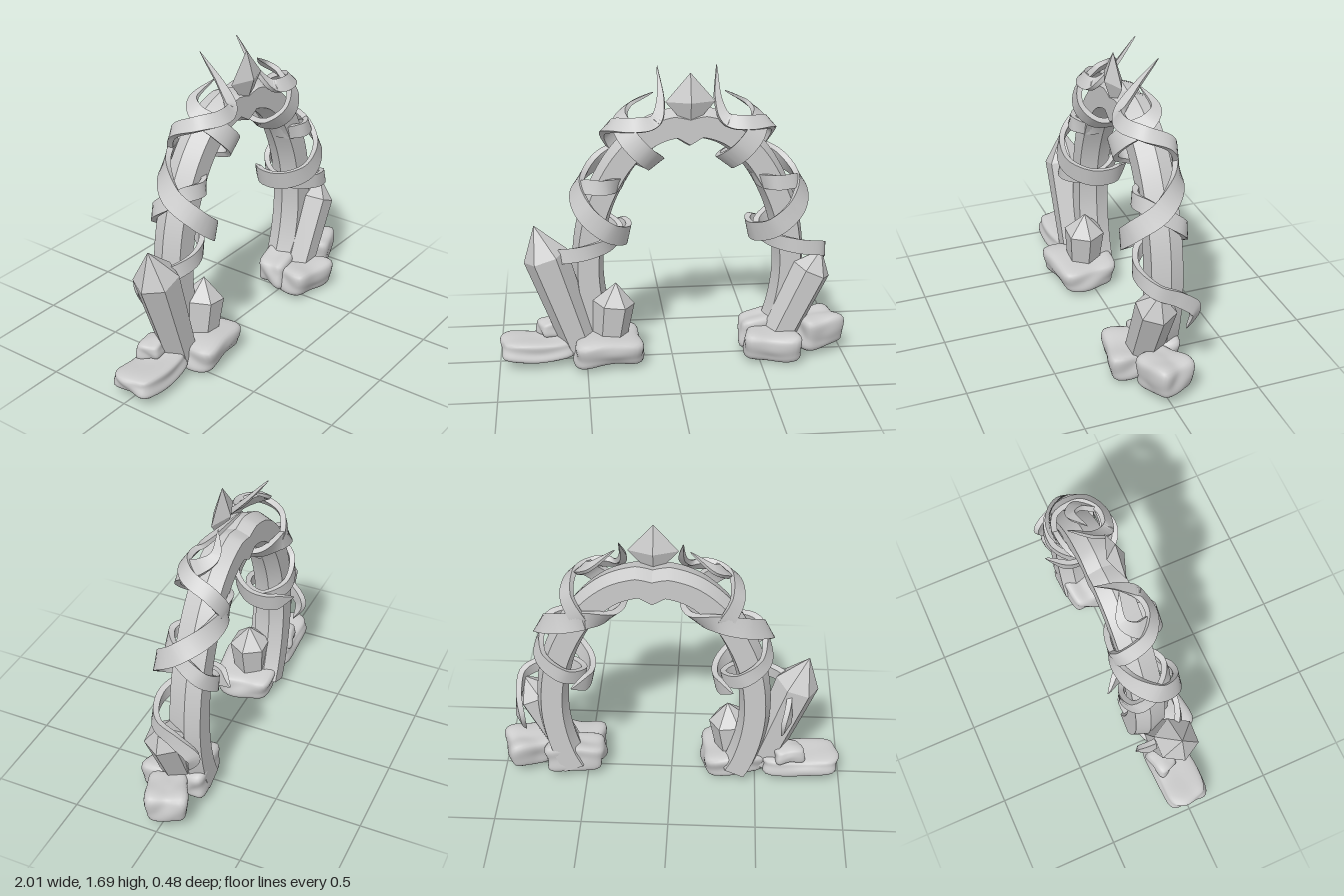
import * as THREE from 'three';
import { toCreasedNormals, mergeVertices } from 'three/addons/utils/BufferGeometryUtils.js';

const V = (x, y, z = 0) => new THREE.Vector3(x, y, z);
const mat = new THREE.MeshStandardMaterial({ color: 0xcccccc });
const flatMat = new THREE.MeshStandardMaterial({ color: 0xcccccc, flatShading: true });
const CX = 0.1; // the arch's own mirror line

function add(parent, name, geometry, material = mat) {
  const mesh = new THREE.Mesh(geometry, material);
  mesh.name = name;
  parent.add(mesh);
  return mesh;
}

// Skin a list of equal-length rings and cap both ends
function loft(rings, crease) {
  const n = rings[0].length, pos = [], idx = [];
  rings.forEach(r => r.forEach(p => pos.push(p.x, p.y, p.z)));
  for (let i = 0; i < rings.length - 1; i++) {
    for (let j = 0; j < n; j++) {
      const a = i * n + j, b = i * n + (j + 1) % n;
      idx.push(a, b, b + n, a, b + n, a + n);
    }
  }
  const last = (rings.length - 1) * n;
  for (let j = 1; j < n - 1; j++) {
    idx.push(0, j + 1, j, last, last + j, last + j + 1);
  }
  const g = new THREE.BufferGeometry();
  g.setAttribute('position', new THREE.Float32BufferAttribute(pos, 3));
  g.setIndex(idx);
  return toCreasedNormals(g, crease);
}

// Horseshoe centre line, feet hooking inward
const half = [[0.475, 0.09], [0.515, 0.18], [0.56, 0.35], [0.58, 0.55], [0.555, 0.8], [0.49, 1.0],
  [0.375, 1.2], [0.23, 1.335], [0.1, 1.385]];
const archPath = new THREE.CatmullRomCurve3([
  ...half.map(([x, y]) => V(CX - x, y, -0.06)),
  V(CX, 1.392, -0.06),
  ...half.map(([x, y]) => V(CX + x, y, -0.06)).reverse(),
], false, 'centripetal');
const archSamples = archPath.getSpacedPoints(1500);

// Hexagonal section, pulled down into a small keystone notch at the crown
function archGeometry() {
  const hex = [[0.09, -0.01], [0.06, 0.09], [-0.06, 0.09], [-0.09, -0.01], [-0.06, -0.09], [0.06, -0.09]];
  const rings = [], N = 120, Z = V(0, 0, 1);
  for (let i = 0; i <= N; i++) {
    const p = archPath.getPointAt(i / N);
    const out = Z.clone().cross(archPath.getTangentAt(i / N)).normalize();
    const dip = p.y > 1 ? 0.045 * Math.max(0, 1 - Math.abs(p.x - CX) / 0.08) : 0;
    rings.push(hex.map(([u, v]) => p.clone()
      .addScaledVector(out, u - dip * (u < 0 ? 1 : 0.5)).addScaledVector(Z, v)));
  }
  return loft(rings, 0.5);
}

// Flat vine lying around the arch, tapering to a point at both ends
function vineGeometry(points, mirror, width) {
  const path = new THREE.CatmullRomCurve3(
    points.map(([x, y, z]) => V(mirror ? 2 * CX - x : x, y, z)), false, 'centripetal');
  const rings = [], N = 160;
  for (let i = 0; i <= N; i++) {
    const s = i / N, p = path.getPointAt(s), t = path.getTangentAt(s);
    let centre = archSamples[0];
    for (const q of archSamples) if (q.distanceToSquared(p) < centre.distanceToSquared(p)) centre = q;
    const out = p.clone().sub(centre);
    out.addScaledVector(t, -out.dot(t)).normalize();
    const side = t.clone().cross(out);
    const taper = Math.min(1, s / 0.05 + 0.02, (1 - s) / 0.15 + 0.02);
    const w = width * taper, h = 0.016 * Math.sqrt(taper);
    rings.push([[h, -w], [h, w], [-h, w * 0.85], [-h, -w * 0.85]]
      .map(([u, v]) => p.clone().addScaledVector(out, u).addScaledVector(side, v)));
  }
  return loft(rings, 0.6);
}

// Six-sided crystal from its foot to its tip
function crystal(parent, name, foot, tip, r0, r1, tipLength) {
  const axis = tip.clone().sub(foot), L = axis.length();
  const g = new THREE.LatheGeometry([
    new THREE.Vector2(0, 0), new THREE.Vector2(r0, 0),
    new THREE.Vector2(r1, L - tipLength), new THREE.Vector2(0, L)], 6);
  g.rotateY(Math.PI / 6);
  const m = add(parent, name, g, flatMat);
  m.position.copy(foot);
  m.quaternion.setFromUnitVectors(V(0, 1, 0), axis.normalize());
}

// Worn boulder: a rounded block with soft dents
function rock(parent, name, c, size, yaw, seed) {
  let g = new THREE.IcosahedronGeometry(1, 9);
  g.deleteAttribute('uv');
  g.deleteAttribute('normal');
  g = mergeVertices(g, 1e-4);
  const p = g.attributes.position, v = V(0, 0, 0);
  for (let i = 0; i < p.count; i++) {
    v.fromBufferAttribute(p, i);
    const k = (Math.abs(v.x) ** 6 + Math.abs(v.y) ** 6 + Math.abs(v.z) ** 6) ** (-1 / 6);
    const dent = 0.92 + 0.09 * Math.sin(3.1 * v.x + seed) * Math.cos(2.7 * v.z + 2 * seed)
      + 0.05 * Math.sin(4 * v.z + 3 * v.y + 3 * seed);
    v.multiplyScalar(k * dent);
    v.y += 0.1 * Math.sin(3 * v.x + 2 * seed);
    p.setXYZ(i, v.x * size[0] / 2, v.y * size[1] / 2, v.z * size[2] / 2);
  }
  g.rotateY(yaw);
  g.computeVertexNormals();
  add(parent, name, g).position.set(...c);
}

export function createModel() {
  const model = new THREE.Group();
  model.name = 'crystalArch';

  add(model, 'arch', archGeometry());

  // Diamond at the crown
  const gem = new THREE.OctahedronGeometry(1);
  gem.scale(0.138, 0.16, 0.05);
  add(model, 'crownGem', gem, flatMat).position.set(CX, 1.53, 0.01);

  // Two counter-wound vines on each side
  const outerVine = [[0.84, 0.38, -0.13], [0.86, 0.5, -0.165], [0.875, 0.6, -0.07], [0.85, 0.66, 0.05],
    [0.7, 0.7, 0.1], [0.56, 0.73, 0.04], [0.5, 0.76, -0.08], [0.6, 0.82, -0.18], [0.725, 0.93, -0.14],
    [0.69, 1.06, 0.03], [0.58, 1.07, 0.07], [0.47, 1.08, -0.05], [0.49, 1.19, -0.175], [0.555, 1.33, -0.14],
    [0.53, 1.4, 0], [0.42, 1.415, 0.07], [0.3, 1.43, 0.05], [0.26, 1.51, -0.03], [0.266, 1.69, -0.18]];
  const innerVine = [[0.55, 0.77, -0.24], [0.46, 0.76, -0.12], [0.47, 0.77, 0.02], [0.57, 0.83, 0.13],
    [0.69, 0.94, 0.11], [0.73, 1.05, -0.02], [0.62, 1.15, -0.15], [0.47, 1.2, -0.18], [0.33, 1.18, -0.1],
    [0.3, 1.2, 0.04], [0.37, 1.27, 0.11], [0.45, 1.36, 0.08], [0.48, 1.44, -0.04], [0.43, 1.49, -0.1],
    [0.3, 1.57, -0.06]];
  for (const [side, mirror] of [['left', false], ['right', true]]) {
    add(model, side + 'OuterVine', vineGeometry(outerVine, mirror, 0.042));
    add(model, side + 'InnerVine', vineGeometry(innerVine, mirror, 0.056));
  }

  // Crystals at the feet
  crystal(model, 'tallCrystal', V(-0.53, 0.08, 0.015), V(-0.78, 0.84, 0.015), 0.1, 0.128, 0.19);
  crystal(model, 'shortCrystal', V(-0.37, 0.1, 0.03), V(-0.325, 0.485, 0.03), 0.095, 0.12, 0.12);
  crystal(model, 'leaningCrystal', V(0.61, 0.1, 0.03), V(0.86, 0.645, 0.03), 0.1, 0.113, 0.13);

  // Rocks around the feet
  rock(model, 'rightFrontRock', [-0.375, 0.105, 0.055], [0.41, 0.17, 0.36], 0.1, 1.0);
  rock(model, 'rightFlatRock', [-0.77, 0.105, 0.005], [0.46, 0.12, 0.27], 0, 2.2);
  rock(model, 'rightSmallRock', [-0.69, 0.19, -0.05], [0.18, 0.1, 0.14], 0.3, 4.0);
  rock(model, 'leftFrontRock', [0.575, 0.1, 0.075], [0.35, 0.18, 0.32], -0.1, 5.2);
  rock(model, 'leftBackRock', [0.57, 0.14, -0.05], [0.38, 0.19, 0.2], 0.1, 0.4);
  rock(model, 'leftSideRock', [0.86, 0.14, 0.0], [0.28, 0.2, 0.24], 0.4, 3.1);

  return model;
}
